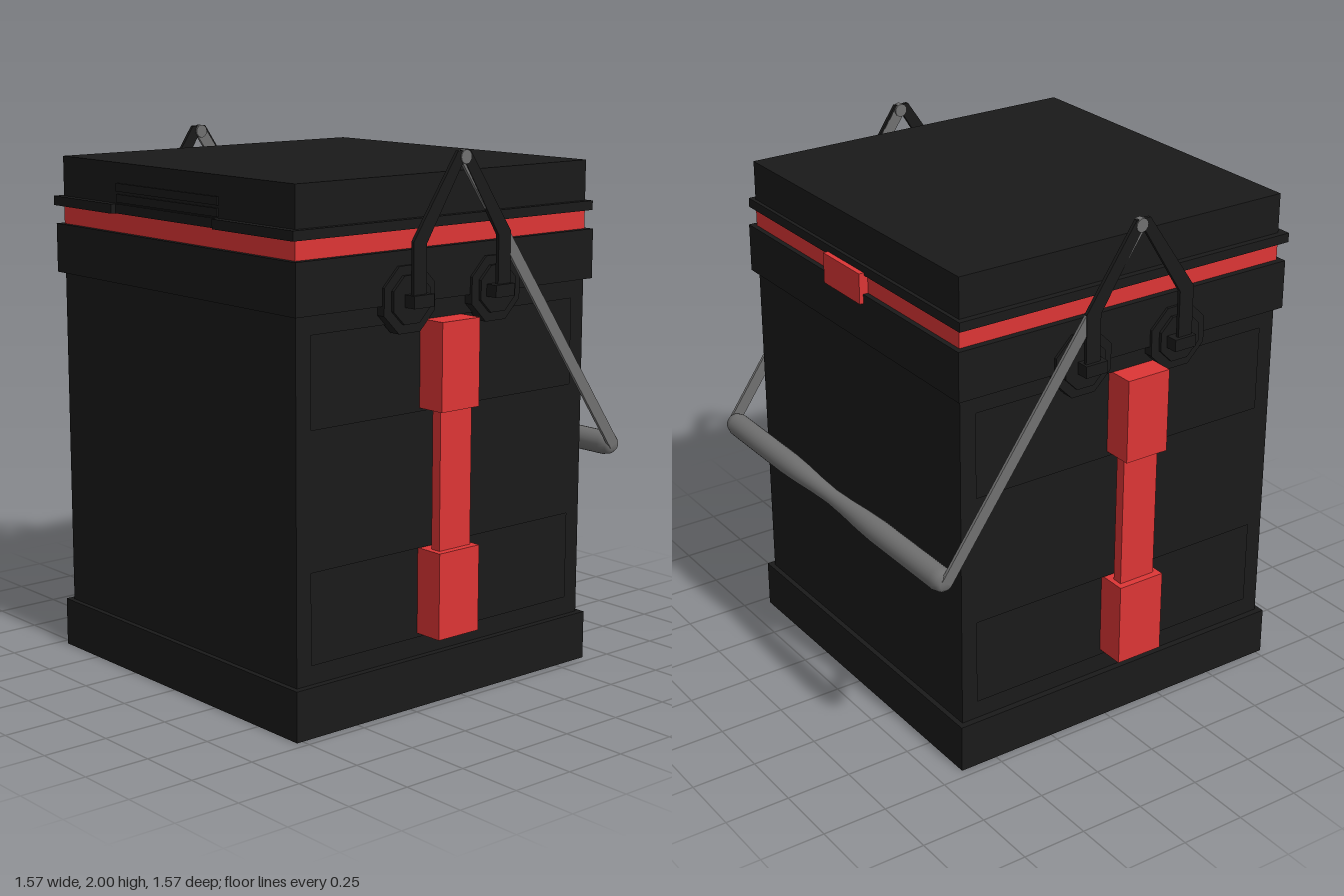
import * as THREE from 'three';

const black = new THREE.MeshStandardMaterial({ color: 0x1a1a1a });
const red = new THREE.MeshStandardMaterial({ color: 0xdd3535 });
const grey = new THREE.MeshStandardMaterial({ color: 0x707070 });

export function createModel() {
  const root = new THREE.Group();
  root.name = 'toolBucket';

  function add(parent, name, geometry, material) {
    const mesh = new THREE.Mesh(geometry, material);
    mesh.name = name;
    parent.add(mesh);
    return mesh;
  }
  // Box given by its limits on each axis
  function box(parent, name, material, [x0, x1], [y0, y1], [z0, z1]) {
    const mesh = add(parent, name, new THREE.BoxGeometry(Math.abs(x1 - x0), y1 - y0, z1 - z0), material);
    mesh.position.set((x0 + x1) / 2, (y0 + y1) / 2, (z0 + z1) / 2);
    return mesh;
  }
  // Outline in (z, y), extruded along x from x0 to x1 on side s
  const outline = pts => pts.map(([z, y]) => new THREE.Vector2(-z, y));
  function sidePlate(parent, name, material, s, x0, x1, pts, holes = []) {
    const shape = new THREE.Shape(outline(pts));
    for (const h of holes) shape.holes.push(new THREE.Path(outline(h)));
    const geo = new THREE.ExtrudeGeometry(shape, { depth: x1 - x0, bevelEnabled: false });
    geo.rotateY(Math.PI / 2).translate(s > 0 ? x0 : -x1, 0, 0);
    return add(parent, name, geo, material);
  }
  const rect = (z0, z1, y0, y1) => [[z0, y0], [z1, y0], [z1, y1], [z0, y1]];
  const octagon = (z, y, r) => Array.from({ length: 8 }, (_, i) => {
    const a = (i + 0.5) * Math.PI / 4, k = r / Math.cos(Math.PI / 8);
    return [z + k * Math.cos(a), y + k * Math.sin(a)];
  });

  // Container: core, base, collar
  box(root, 'body', black, [-0.67, 0.67], [0.1, 1.6], [-0.63, 0.755]);
  box(root, 'base', black, [-0.715, 0.715], [0, 0.185], [-0.65, 0.775]);
  box(root, 'collar', black, [-0.715, 0.715], [1.48, 1.665], [-0.65, 0.775]);
  box(root, 'seal', red, [-0.69, 0.69], [1.66, 1.74], [-0.63, 0.755]);

  // Lid with a rim that is notched at the front around a ribbed grip
  const lid = new THREE.Group();
  lid.name = 'lid';
  root.add(lid);
  box(lid, 'lidTop', black, [-0.69, 0.69], [1.735, 1.92], [-0.63, 0.755]);
  box(lid, 'rim', black, [-0.715, 0.715], [1.735, 1.77], [-0.645, 0.765]);
  box(lid, 'rimFrontRight', black, [-0.715, -0.335], [1.735, 1.77], [0.765, 0.785]);
  box(lid, 'rimFrontLeft', black, [0.275, 0.715], [1.735, 1.77], [0.765, 0.785]);
  for (const y of [1.775, 1.815])
    box(lid, 'gripRib', black, [-0.335, 0.275], [y, y + 0.03], [0.75, 0.762]);
  box(root, 'rearLatch', red, [-0.115, 0.13], [1.63, 1.745], [-0.665, -0.625]);

  for (const s of [1, -1]) {
    const side = new THREE.Group();
    side.name = s > 0 ? 'leftSide' : 'rightSide';
    root.add(side);

    // Side wall with two recessed panels
    sidePlate(side, 'panelFrame', black, s, 0.67, 0.69, rect(-0.63, 0.755, 0.1, 1.6),
      [rect(-0.565, 0.69, 0.255, 0.585), rect(-0.565, 0.69, 1.085, 1.41)]);

    // Red strap with a block at each end
    const dz = s > 0 ? 0 : 0.018;
    box(side, 'strapUpperBlock', red, [s * 0.67, s * 0.785], [1.09, 1.41], [-0.005 + dz, 0.175 + dz]);
    box(side, 'strapLowerBlock', red, [s * 0.67, s * 0.785], [0.26, 0.58], [-0.015 + dz, 0.178 + dz]);
    box(side, 'strapBand', red, [s * 0.717, s * 0.758], [0.57, 1.1], [0.005 + dz, 0.155 + dz]);

    // Octagonal hinge plates with pegs
    for (const z of [0.275, -0.14]) {
      sidePlate(side, 'hingePlate', black, s, 0.68, 0.725, octagon(z, 1.495, 0.118));
      sidePlate(side, 'hingeBoss', black, s, 0.72, 0.737, octagon(z, 1.495, 0.085));
      const pz = z > 0 ? 0.262 : -0.128;
      box(side, 'hingePeg', black, [s * 0.72, s * 0.785], [1.47, 1.515], [pz - 0.046, pz + 0.046]);
    }

    // Forked arm carrying the handle pivot
    const c = 0.067;
    const half = [[0.232, 1.49], [0.232, 1.7], [0.03, 1.997]];
    const inner = [[0, 1.965], [0.172, 1.69], [0.172, 1.49]];
    sidePlate(side, 'forkArm', black, s, 0.757, 0.771, [
      ...half.map(([z, y]) => [c + z, y]),
      ...[...half].reverse().map(([z, y]) => [c - z, y]),
      ...[...inner].reverse().map(([z, y]) => [c - z, y]),
      ...inner.slice(1).map(([z, y]) => [c + z, y]),
    ]);

    // Flat rod from the pivot down to the grip
    const top = new THREE.Vector3(s * 0.762, 1.975, 0.06);
    const low = new THREE.Vector3(s * 0.762, 0.84, -0.74);
    const rod = add(side, 'handleRod', new THREE.BoxGeometry(0.012, top.distanceTo(low), 0.046), grey);
    rod.position.copy(top).add(low).multiplyScalar(0.5);
    rod.rotation.x = Math.atan2(top.z - low.z, top.y - low.y);
    const pivot = add(side, 'handlePivot', new THREE.CylinderGeometry(0.025, 0.025, 0.026, 16), grey);
    pivot.rotation.z = Math.PI / 2;
    pivot.position.copy(top);
  }

  // Turned grip, slimmer in the middle
  const profile = [[0, 0.765], [0.026, 0.765], [0.038, 0.75], [0.045, 0.72], [0.045, 0.32],
    [0.041, 0.22], [0.034, 0.11], [0.03, 0]];
  const points = [...profile, ...profile.slice(0, -1).reverse().map(([r, x]) => [r, -x])]
    .reverse().map(([r, x]) => new THREE.Vector2(r, x));
  const grip = add(root, 'handleGrip', new THREE.LatheGeometry(points, 24), grey);
  grip.rotation.z = Math.PI / 2;
  grip.position.set(0, 0.84, -0.74);

  return root;
}
